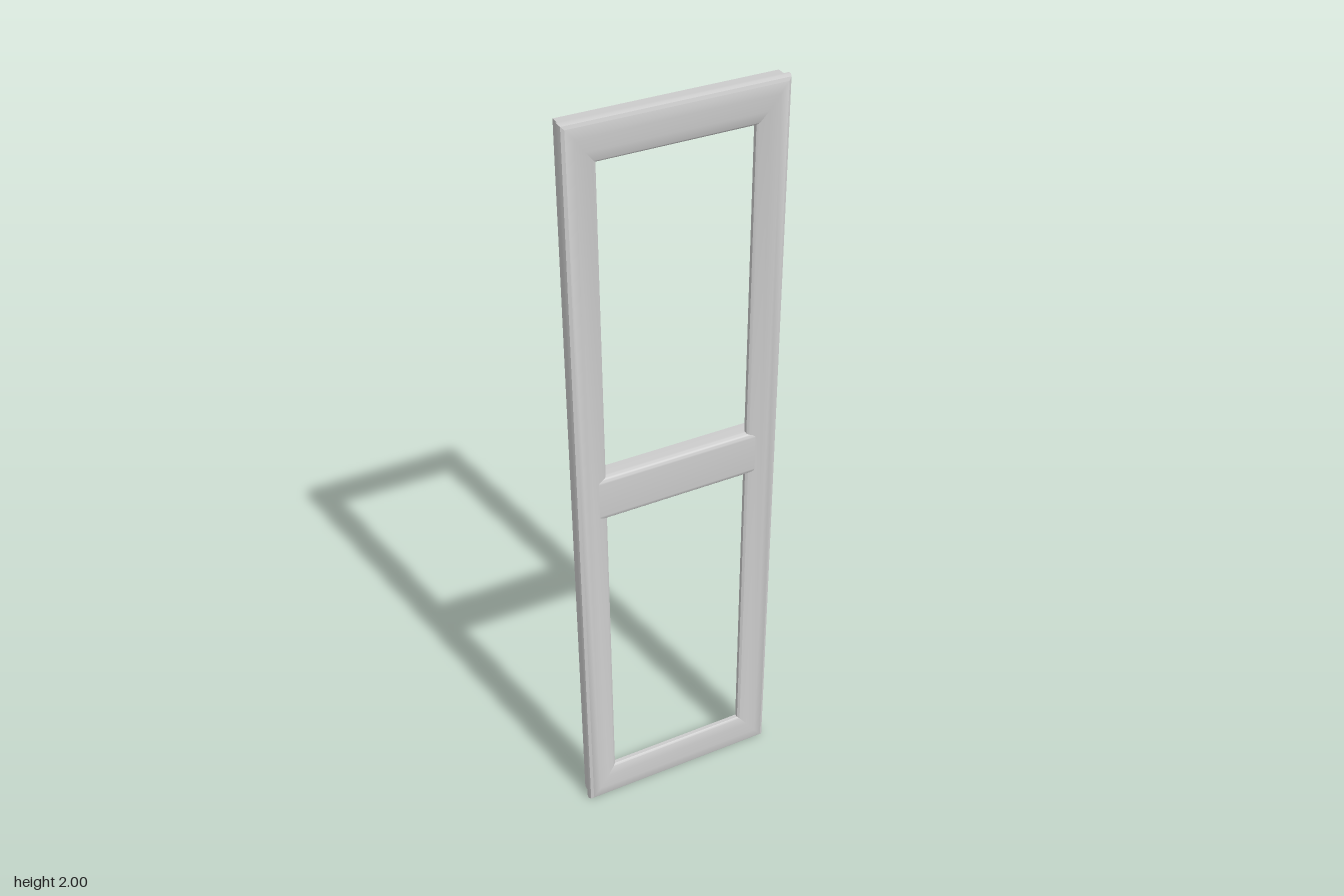
import * as THREE from 'three';
import { toCreasedNormals } from 'three/addons/utils/BufferGeometryUtils.js';

const HALF_W = 0.271, HEIGHT = 2, CREASE = 0.6;

// Sweep a profile around a rectangle with mitred corners.
// Each point: [inset from the sides, inset from top and bottom, depth]
function mitredFrame(profile) {
  const corners = [[1, -1], [1, 1], [-1, 1], [-1, -1]];
  const at = ([dx, dy, z], [sx, sy]) =>
    [sx * (HALF_W - dx), HEIGHT / 2 + sy * (HEIGHT / 2 - dy), z];
  const pos = [];
  corners.forEach((c, k) => {
    const next = corners[(k + 1) % 4];
    profile.forEach((p, i) => {
      const q = profile[(i + 1) % profile.length];
      const a = at(p, c), b = at(p, next), d = at(q, next), e = at(q, c);
      pos.push(...a, ...b, ...d, ...a, ...d, ...e);
    });
  });
  const g = new THREE.BufferGeometry();
  g.setAttribute('position', new THREE.Float32BufferAttribute(pos, 3));
  return toCreasedNormals(g, CREASE);
}

// Horizontal bar with a rounded front, extruded between the stiles
function crossBar(length, height, back, front) {
  const h = height / 2, r = 0.015;
  const s = new THREE.Shape();
  s.moveTo(-back, -h);
  s.lineTo(-back, h);
  s.lineTo(-0.006, h);
  s.quadraticCurveTo(-front, h, -front, h - r);
  s.lineTo(-front, -h + r);
  s.quadraticCurveTo(-front, -h, -0.006, -h);
  s.closePath();
  const g = new THREE.ExtrudeGeometry(s, { depth: length, bevelEnabled: false, curveSegments: 6 });
  g.translate(0, 0, -length / 2);
  g.rotateY(Math.PI / 2);
  return toCreasedNormals(g, CREASE);
}

export function createModel() {
  const model = new THREE.Group();
  model.name = 'doorFrame';
  const material = new THREE.MeshStandardMaterial({ color: 0xcccccc });

  // Outer frame: back slab, rounded front moulding and a rebate behind it
  const frame = new THREE.Mesh(mitredFrame([
    [0.007, 0.005, -0.026],
    [0.007, 0.005, 0.003],
    [0, 0, 0.005],
    [0, 0, 0.013],
    [0.003, 0.003, 0.021],
    [0.010, 0.010, 0.0255],
    [0.030, 0.035, 0.0265],
    [0.055, 0.070, 0.0235],
    [0.075, 0.095, 0.0185],
    [0.081, 0.100, 0.014],
    [0.081, 0.100, 0.004],
    [0.022, 0.055, 0.004],
    [0.022, 0.055, -0.026],
  ]), material);
  frame.name = 'outerFrame';

  // Middle rail dividing the two openings
  const rail = new THREE.Mesh(crossBar(0.498, 0.125, -0.026, 0.0225), material);
  rail.name = 'middleRail';
  rail.position.y = 1.0225;

  // The whole panel stands turned about the vertical axis
  const panel = new THREE.Group();
  panel.name = 'panel';
  panel.add(frame, rail);
  panel.rotation.y = THREE.MathUtils.degToRad(23.2);
  model.add(panel);
  return model;
}
